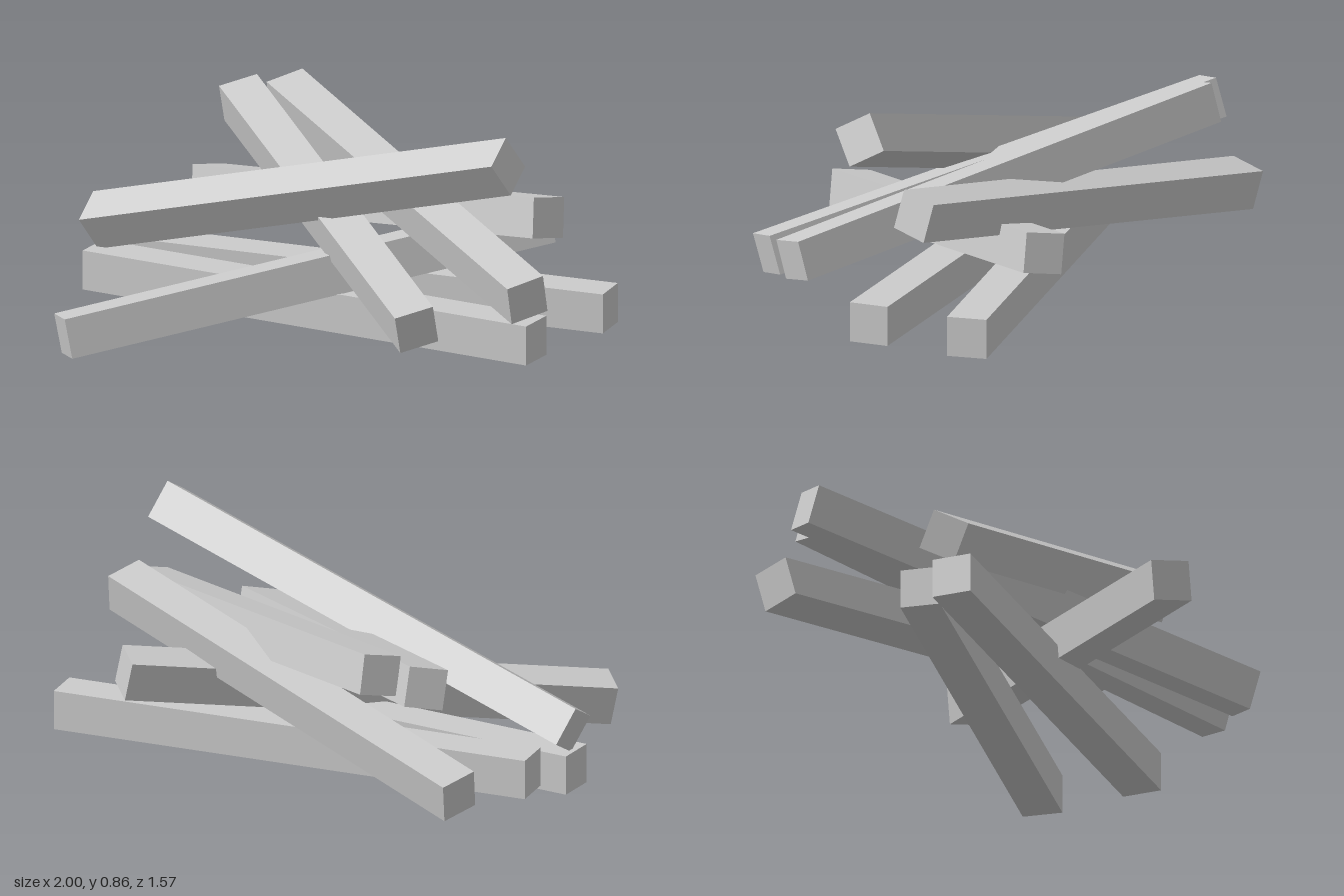
import * as THREE from 'three';

const LENGTH = 1.82;
const WIDTH = 0.146;

// Each beam: centre, direction of its length, and the way its upper face points
const BEAMS = [
  { name: 'groundBeamFront', center: [-0.06, 0.108, 0.002], along: [1, 0, 0], up: [0, 1, 0] },
  { name: 'groundBeamBack', center: [0.02, 0.127, -0.282], along: [1.8, 0, -0.255], up: [0, 1, 0] },
  { name: 'crossBeam', center: [-0.052, 0.225, 0.085], along: [1.25, 0.275, -1.29], up: [-0.106, 0.989, -0.103] },
  { name: 'backBeam', center: [-0.045, 0.372, -0.43], along: [1.72, 0.295, 0.55], up: [-0.02, 0.14, -0.035] },
  { name: 'leaningBeamFront', center: [-0.05, 0.42, -0.083], along: [1.37, -0.34, 1.145], up: [0, 0.14, 0.04] },
  { name: 'leaningBeamBack', center: [0.193, 0.484, -0.222], along: [1.525, -0.275, 0.95], up: [0, 0.14, 0.035] },
  { name: 'topBeam', center: [-0.1, 0.517, 0.022], along: [1.75, 0.5, 0.095], up: [-0.035, 0.12, 0.07] },
];

export function createModel() {
  const group = new THREE.Group();
  group.name = 'beamPile';
  const material = new THREE.MeshStandardMaterial({ color: 0xcccccc, flatShading: true });
  const geometry = new THREE.BoxGeometry(LENGTH, WIDTH, WIDTH);

  for (const { name, center, along, up } of BEAMS) {
    // Square up the beam's own axes
    const x = new THREE.Vector3(...along).normalize();
    const z = new THREE.Vector3().crossVectors(x, new THREE.Vector3(...up)).normalize();
    const y = new THREE.Vector3().crossVectors(z, x);

    const beam = new THREE.Mesh(geometry, material);
    beam.name = name;
    beam.quaternion.setFromRotationMatrix(new THREE.Matrix4().makeBasis(x, y, z));
    beam.position.set(...center);
    group.add(beam);
  }
  return group;
}
